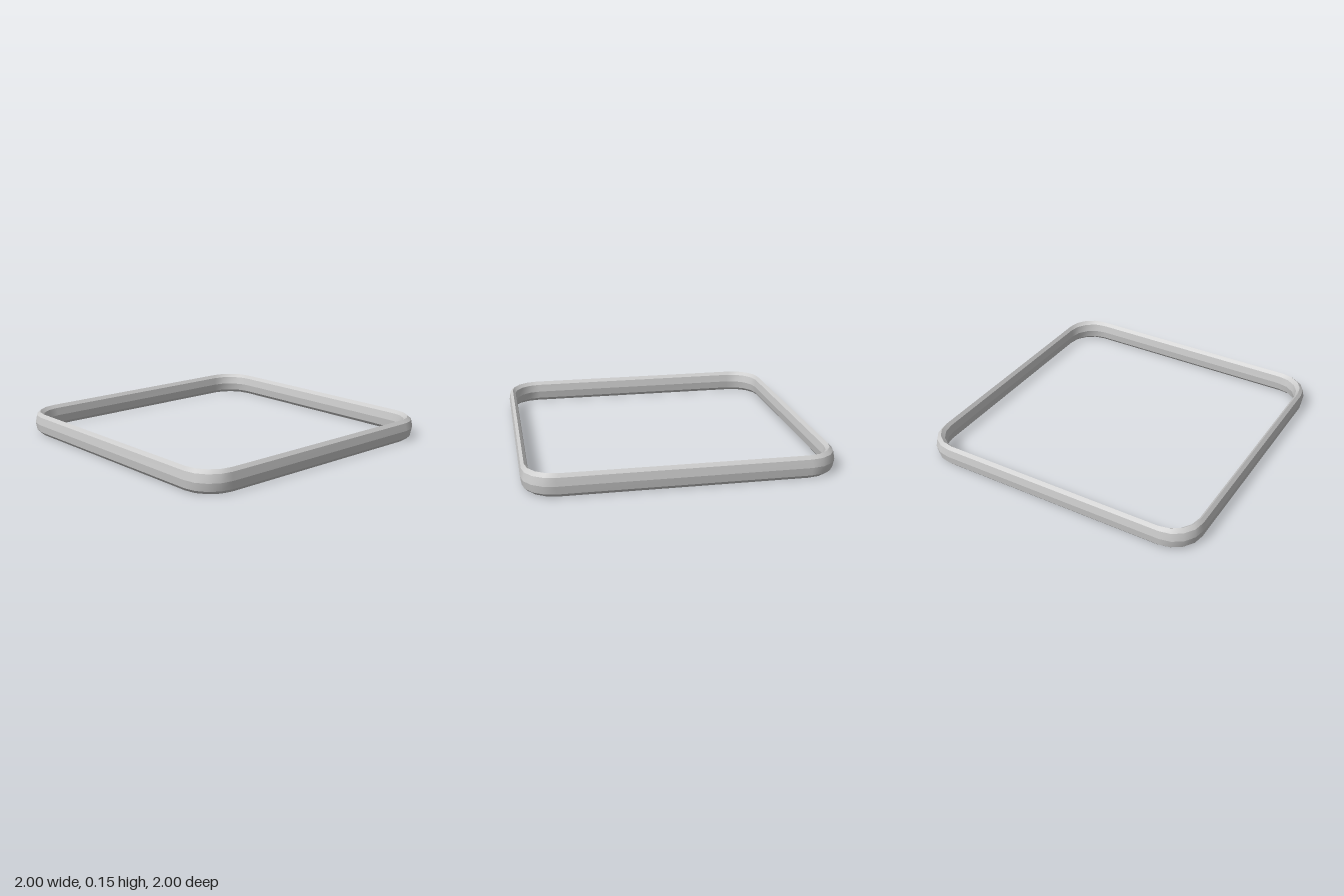
import * as THREE from 'three';

const HALF = 1;            // outer half size
const CORNER = 0.2;        // outer corner radius
const CORNER_STEPS = 4;
const HALF_WIDTH = 0.0275; // section half width
const HALF_HEIGHT = 0.075; // section half height
const SIDES = 8;

// Rounded square outline, running from +x towards +z
function outline() {
  const points = [];
  for (let c = 0; c < 4; c++) {
    const mid = (c + 0.5) * Math.PI / 2;
    const cx = Math.sign(Math.cos(mid)) * (HALF - CORNER);
    const cz = Math.sign(Math.sin(mid)) * (HALF - CORNER);
    for (let i = 0; i <= CORNER_STEPS; i++) {
      const a = (c + i / CORNER_STEPS) * Math.PI / 2;
      points.push([cx + CORNER * Math.cos(a), cz + CORNER * Math.sin(a)]);
    }
  }
  return points;
}

// One facet of the octagonal section swept around the outline
// (own vertices per band: crisp between bands, smooth around corners)
function addBand(path, side, positions, indices) {
  const start = positions.length / 3;
  const n = path.length;
  for (const [x, z] of path) {
    for (let k = 0; k < 2; k++) {
      const t = (side + k) / SIDES * Math.PI * 2;
      const s = 1 - HALF_WIDTH + HALF_WIDTH * Math.cos(t);
      positions.push(x * s, HALF_HEIGHT * (1 + Math.sin(t)), z * s);
    }
  }
  for (let i = 0; i < n; i++) {
    const a = start + 2 * i;
    const b = start + 2 * ((i + 1) % n);
    indices.push(a, a + 1, b, a + 1, b + 1, b);
  }
}

export function createModel() {
  const group = new THREE.Group();
  group.name = 'roundedSquareRing';

  const positions = [];
  const indices = [];
  const path = outline();
  for (let side = 0; side < SIDES; side++) addBand(path, side, positions, indices);

  const geometry = new THREE.BufferGeometry();
  geometry.setAttribute('position', new THREE.Float32BufferAttribute(positions, 3));
  geometry.setIndex(indices);
  geometry.computeVertexNormals();

  const rim = new THREE.Mesh(geometry, new THREE.MeshStandardMaterial({ color: 0xcccccc }));
  rim.name = 'rim';
  group.add(rim);
  return group;
}
